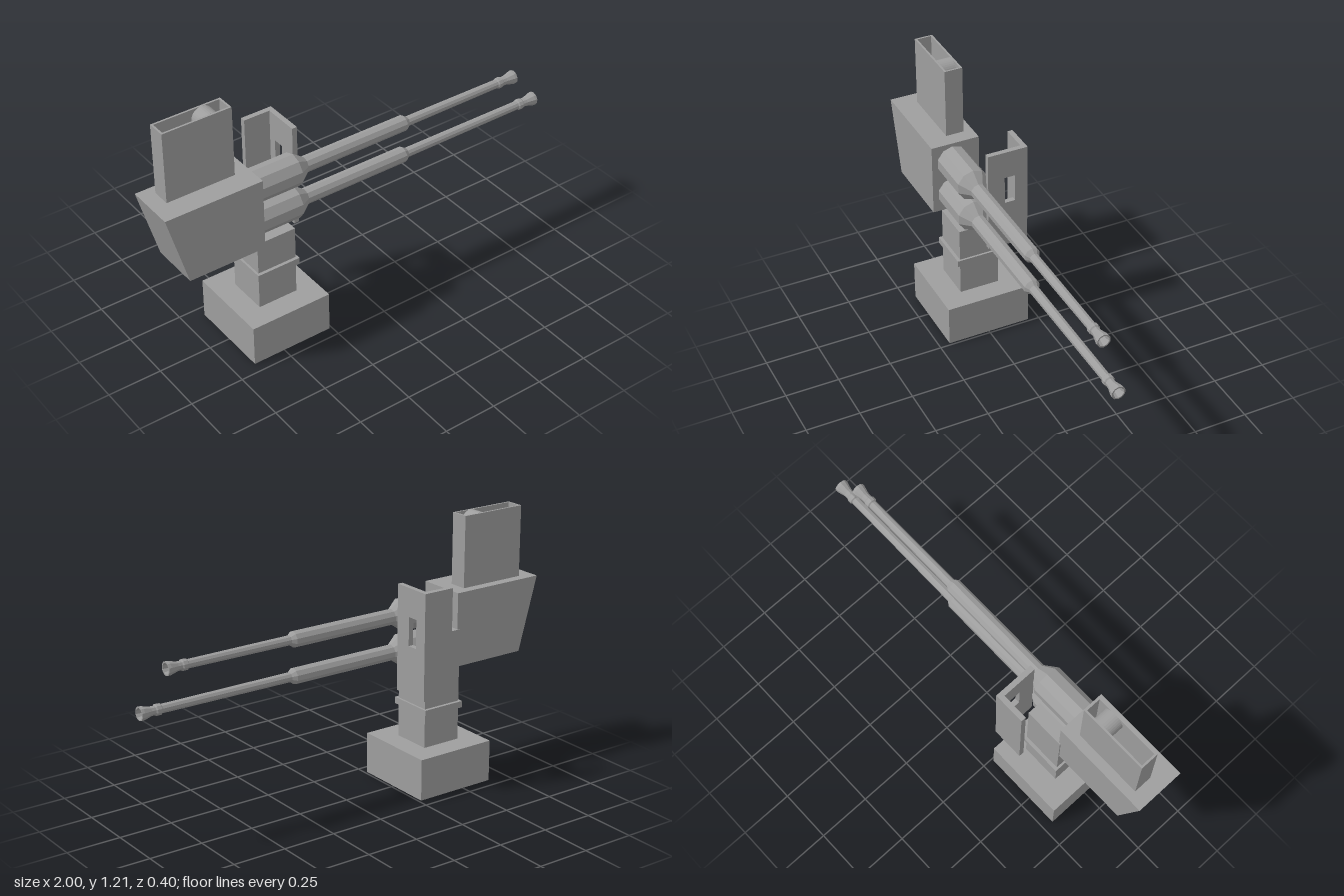
import * as THREE from 'three';

const mat = new THREE.MeshStandardMaterial({ color: 0x9e9e9e, flatShading: true, side: THREE.DoubleSide });

function add(parent, name, geometry) {
  const mesh = new THREE.Mesh(geometry, mat);
  mesh.name = name;
  parent.add(mesh);
  return mesh;
}

// Box given by its limits on each axis
function box(parent, name, x0, x1, y0, y1, z0, z1) {
  const mesh = add(parent, name, new THREE.BoxGeometry(x1 - x0, y1 - y0, z1 - z0));
  mesh.position.set((x0 + x1) / 2, (y0 + y1) / 2, (z0 + z1) / 2);
}

// Flat outline in x/y pushed along z
function slab(parent, name, points, depth) {
  const shape = new THREE.Shape(points.map(([x, y]) => new THREE.Vector2(x, y)));
  return add(parent, name, new THREE.ExtrudeGeometry(shape, { depth, bevelEnabled: false }));
}

function rectPath(Type, x0, y0, x1, y1) {
  const p = new Type();
  p.moveTo(x0, y0);
  p.lineTo(x1, y0);
  p.lineTo(x1, y1);
  p.lineTo(x0, y1);
  p.closePath();
  return p;
}

// Gun barrel turned along x, with a hollow flared muzzle ending at x = tip
function barrel(parent, name, y, tip) {
  const profile = [
    [0, -0.54], [0.075, -0.54], [0.075, -0.325], [0.036, -0.27],
    [0.036, 0.25], [0.022, 0.27], [0.02, tip - 0.1],
    [0.025, tip - 0.095], [0.025, tip - 0.075], [0.02, tip - 0.07],
    [0.021, tip - 0.05], [0.031, tip - 0.012], [0.031, tip],
    [0.025, tip], [0.015, tip - 0.05], [0, tip - 0.05],
  ].map(([r, x]) => new THREE.Vector2(r, x));
  const mesh = add(parent, name, new THREE.LatheGeometry(profile, 10, Math.PI / 2));
  mesh.rotation.z = -Math.PI / 2;
  mesh.position.set(0, y, 0.04);
}

export function createModel() {
  const model = new THREE.Group();
  model.name = 'twinGunTurret';

  // Pedestal with a stepped column
  const pedestal = new THREE.Group();
  pedestal.name = 'pedestal';
  model.add(pedestal);
  box(pedestal, 'base', -0.652, -0.262, 0, 0.193, -0.2, 0.2);
  const column = slab(pedestal, 'column', [
    [-0.095, 0.193], [0.095, 0.193], [0.095, 0.713],
    [0.03, 0.713], [0.03, 0.53], [-0.095, 0.53],
  ], 0.19);
  column.rotation.y = Math.PI / 2;
  column.position.x = -0.55;
  box(pedestal, 'collar', -0.56, -0.35, 0.347, 0.377, -0.11, 0.11);

  // Receiver with a sloping rear
  const receiver = slab(model, 'receiver', [[-0.905, 0.538], [-0.54, 0.538], [-0.54, 0.88], [-1, 0.88]], 0.23);
  receiver.position.z = -0.09;

  // Open-topped magazine with a round lying across it
  const magazine = new THREE.Group();
  magazine.name = 'magazine';
  model.add(magazine);
  const frame = rectPath(THREE.Shape, -0.93, -0.038, -0.608, 0.047);
  frame.holes.push(rectPath(THREE.Path, -0.921, -0.029, -0.617, 0.038));
  const walls = add(magazine, 'magazineWalls', new THREE.ExtrudeGeometry(frame, { depth: 0.329, bevelEnabled: false }));
  walls.rotation.x = -Math.PI / 2;
  walls.position.y = 0.88;
  const round = add(magazine, 'magazineRound', new THREE.CylinderGeometry(0.05, 0.05, 0.068, 32));
  round.rotation.x = Math.PI / 2;
  round.position.set(-0.7, 1.16, -0.0045);

  // Twin barrels, the lower one longer
  barrel(model, 'upperBarrel', 0.79, 0.87);
  barrel(model, 'lowerBarrel', 0.625, 1);

  // L-shaped shield with a sight window
  const shield = new THREE.Group();
  shield.name = 'shield';
  model.add(shield);
  const face = rectPath(THREE.Shape, 0.007, 0.463, 0.198, 0.953);
  face.holes.push(rectPath(THREE.Path, 0.087, 0.69, 0.138, 0.822));
  const plate = add(shield, 'shieldFace', new THREE.ExtrudeGeometry(face, { depth: 0.024, bevelEnabled: false }));
  plate.rotation.y = Math.PI / 2;
  plate.position.x = -0.294;
  box(shield, 'shieldSide', -0.42, -0.294, 0.463, 0.953, -0.198, -0.174);

  return model;
}
